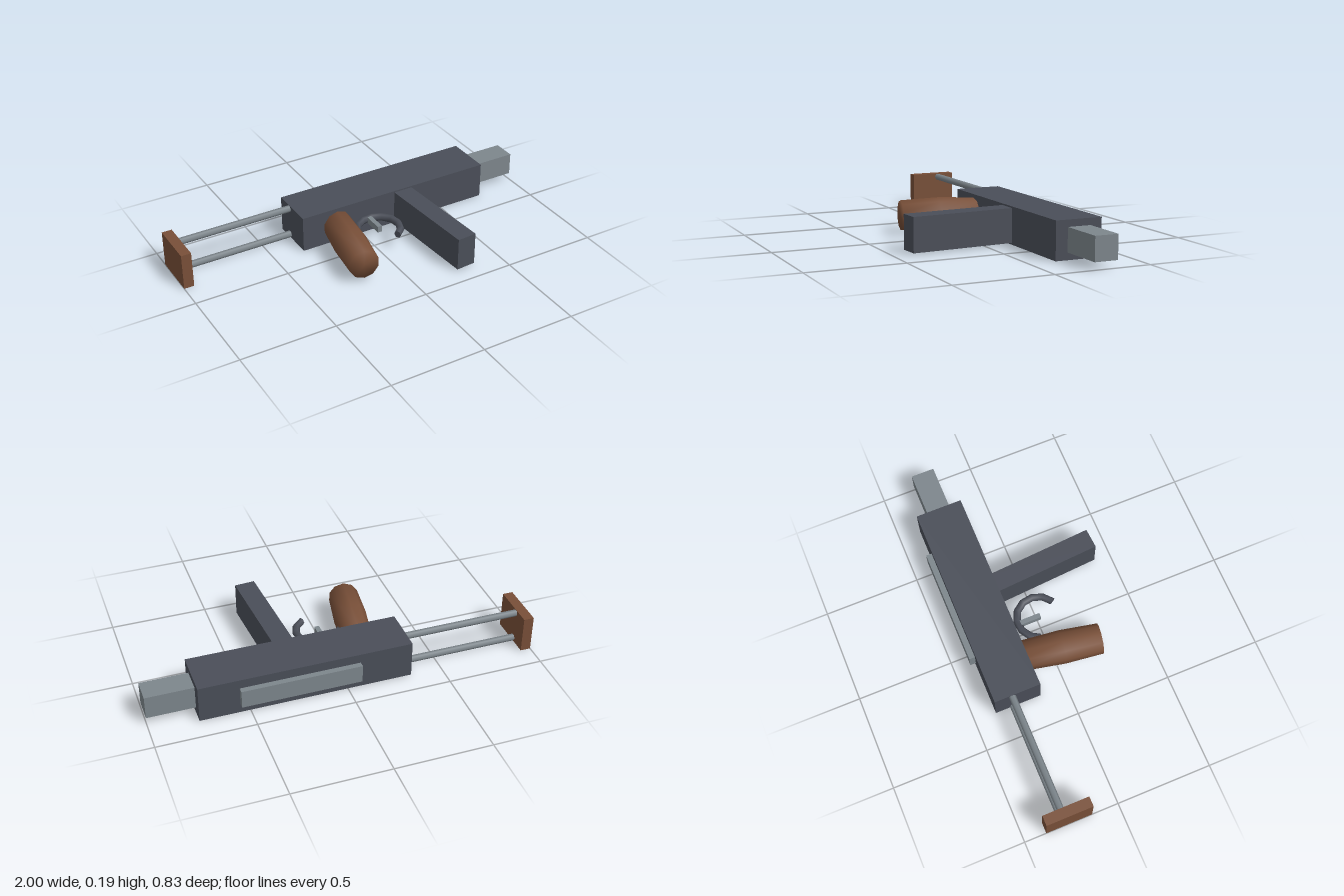
import * as THREE from 'three';

export function createModel() {
  const model = new THREE.Group();
  const mat = (name, color) => {
    const m = new THREE.MeshStandardMaterial({ color });
    m.name = name;
    return m;
  };
  const dark = mat('dark gunmetal', 0x4a4e58);
  const steel = mat('grey steel', 0x7d868c);
  const wood = mat('brown wood', 0x784f38);

  const add = (name, geometry, material, x, y, z) => {
    const mesh = new THREE.Mesh(geometry, material);
    mesh.name = name;
    mesh.position.set(x, y, z);
    model.add(mesh);
    return mesh;
  };
  // Box given by its limits on each axis
  const box = (name, material, [x0, x1], [y0, y1], [z0, z1]) =>
    add(name, new THREE.BoxGeometry(x1 - x0, y1 - y0, z1 - z0), material,
      (x0 + x1) / 2, (y0 + y1) / 2, (z0 + z1) / 2);

  const midY = 0.097;

  // Body, barrel and sight rail
  box('receiver', dark, [-0.337, 0.755], [0, 0.193], [-0.385, -0.14]);
  box('barrel', steel, [0.74, 1], [0.037, 0.158], [-0.325, -0.203]);
  box('topRail', steel, [-0.065, 0.55], [0.05, 0.145], [-0.415, -0.38]);

  // Stock: two hexagonal rods and a butt plate
  box('buttPlate', wood, [-1, -0.947], [0, 0.193], [-0.385, -0.14]);
  for (const y of [0.021, 0.175]) {
    const rod = add('stockRod', new THREE.CylinderGeometry(0.018, 0.018, 0.64, 6), steel, -0.64, y, -0.291);
    rod.rotation.z = Math.PI / 2;
  }

  // Magazine, leaning slightly toward the muzzle
  const magazine = add('magazine', new THREE.BoxGeometry(0.105, 0.176, 0.6), dark, 0.275, midY, 0.108);
  magazine.rotation.y = 0.07;

  // Grip: swollen handle with a flat end, leaning back
  const profile = [[0, 0], [0.079, 0], [0.087, 0.2], [0.077, 0.42], [0, 0.42]]
    .map(([r, h]) => new THREE.Vector2(r, h));
  const gripGeometry = new THREE.LatheGeometry(profile, 10);
  gripGeometry.rotateX(-Math.PI / 2);
  const grip = add('grip', gripGeometry, wood, -0.202, midY, 0.248);
  grip.rotation.y = -0.165;

  // Trigger guard: open ring lying in the horizontal plane
  const start = -1.08;
  const guardGeometry = new THREE.TorusGeometry(0.112, 0.02, 6, 8, 3.95);
  guardGeometry.rotateZ(start);
  guardGeometry.rotateX(-Math.PI / 2);
  const guard = add('triggerGuard', guardGeometry, dark, 0.028, midY, 0);

  // End caps of the ring
  for (const [angle, side] of [[start, 1], [start + 3.95, -1]]) {
    const cap = new THREE.Mesh(new THREE.CircleGeometry(0.02, 6), dark);
    cap.name = 'guardEnd';
    cap.position.set(0.112 * Math.cos(angle), 0, -0.112 * Math.sin(angle));
    cap.lookAt(
      cap.position.x + side * Math.sin(angle), 0,
      cap.position.z + side * Math.cos(angle));
    guard.add(cap);
  }

  box('trigger', steel, [0.016, 0.041], [0.08, 0.114], [-0.1, 0.01]);

  return model;
}
